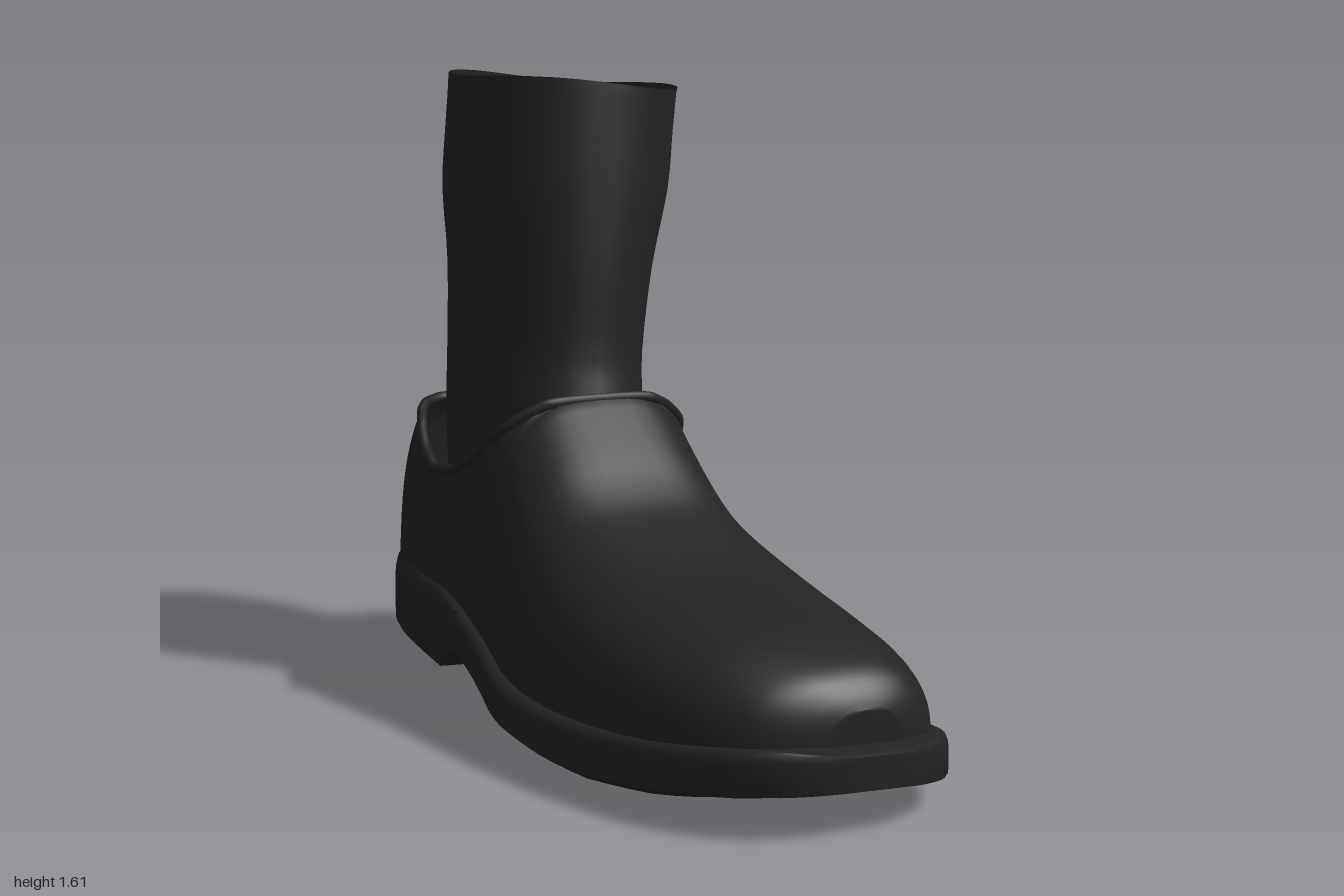
import * as THREE from 'three';
import { mergeVertices, toCreasedNormals } from 'three/addons/utils/BufferGeometryUtils.js';

const black = new THREE.MeshStandardMaterial({ color: 0x222222, side: THREE.DoubleSide });
black.name = 'black';

const TILT = -0.06; // sideways lean of the sole
const lerp = THREE.MathUtils.lerp;

// Sole rows, toe to heel: [z, xMin, xMax, bottom, top]
const soleRows = [
  [1, 0, 0.15, 0.105, 0.18], [0.975, -0.1, 0.22, 0.098, 0.187], [0.93, -0.18, 0.29, 0.09, 0.19],
  [0.85, -0.255, 0.34, 0.075, 0.18], [0.7, -0.33, 0.385, 0.045, 0.16], [0.5, -0.385, 0.405, 0.025, 0.14],
  [0.3, -0.408, 0.395, 0.025, 0.13], [0.1, -0.4, 0.36, 0.03, 0.13], [0, -0.385, 0.335, 0.04, 0.14],
  [-0.15, -0.36, 0.312, 0.08, 0.185], [-0.3, -0.345, 0.31, 0.12, 0.225], [-0.45, -0.33, 0.31, 0.045, 0.25],
  [-0.65, -0.315, 0.31, 0.055, 0.262], [-0.8, -0.293, 0.31, 0.06, 0.268], [-0.9, -0.26, 0.29, 0.07, 0.27],
  [-0.97, -0.18, 0.225, 0.08, 0.265], [-1, -0.09, 0.14, 0.085, 0.255],
];

// Upper rows, toe to heel: [z, xMin, xMax, arch height, collar height]
const upperRows = [
  [0.945, -0.03, 0.16, 0.26, 1], [0.93, -0.09, 0.21, 0.29, 1], [0.9, -0.16, 0.26, 0.325, 1],
  [0.85, -0.22, 0.3, 0.352, 1], [0.75, -0.285, 0.335, 0.387, 1], [0.6, -0.335, 0.36, 0.42, 1],
  [0.4, -0.365, 0.37, 0.465, 1], [0.2, -0.37, 0.345, 0.54, 1], [0.1, -0.36, 0.325, 0.6, 1],
  [0, -0.35, 0.31, 0.69, 1], [-0.115, -0.335, 0.305, 0.795, 0.795], [-0.145, -0.33, 0.305, 0.82, 0.765],
  [-0.2, -0.325, 0.305, 0.88, 0.7], [-0.3, -0.315, 0.305, 0.9, 0.63], [-0.42, -0.305, 0.305, 0.9, 0.58],
  [-0.55, -0.3, 0.305, 0.88, 0.565], [-0.65, -0.295, 0.3, 0.86, 0.605], [-0.75, -0.285, 0.295, 0.84, 0.665],
  [-0.83, -0.275, 0.285, 0.8, 0.705], [-0.88, -0.25, 0.265, 0.745, 0.715], [-0.9, -0.235, 0.25, 0.715, 1],
  [-0.925, -0.19, 0.215, 0.69, 1], [-0.94, -0.12, 0.15, 0.65, 1],
];

// Subdivide rows: smooth for the first columns, straight for the rest
function refine(rows, steps, smoothCols) {
  const out = [];
  const at = i => rows[Math.max(0, Math.min(rows.length - 1, i))];
  for (let i = 0; i < rows.length - 1; i++) {
    for (let s = 0; s < steps; s++) {
      const f = s / steps;
      out.push(rows[i].map((b, c) => {
        const a = at(i - 1)[c], d = at(i + 1)[c], e = at(i + 2)[c];
        if (c >= smoothCols) return lerp(b, d, f);
        return b + 0.5 * f * (d - a + f * (2 * a - 5 * b + 4 * d - e + f * (3 * (b - d) + e - a)));
      }));
    }
  }
  out.push(rows[rows.length - 1]);
  return out;
}

// Collapse the end rows to their middle so the shell is closed
function withCaps(rows) {
  const cap = r => [r[0], (r[1] + r[2]) / 2, (r[1] + r[2]) / 2, ...r.slice(3)];
  return [cap(rows[0]), ...rows, cap(rows[rows.length - 1])];
}

// Skin a list of equal-length cross-sections; skip leaves one band open
function loft(sections, closed, skip = -1) {
  const n = sections[0].length, index = [];
  for (let i = 0; i < sections.length - 1; i++) {
    for (let j = 0; j < (closed ? n : n - 1); j++) {
      if (j === skip) continue;
      const k = (j + 1) % n;
      const a = i * n + j, b = i * n + k, c = (i + 1) * n + k, d = (i + 1) * n + j;
      index.push(a, b, d, b, c, d);
    }
  }
  let geo = new THREE.BufferGeometry();
  geo.setAttribute('position', new THREE.Float32BufferAttribute(sections.flat(2), 3));
  geo.setIndex(index);
  geo = mergeVertices(geo, 1e-5);
  geo.computeVertexNormals();
  return geo;
}

function soleTop(z) {
  let i = 0;
  while (i < soleRows.length - 2 && soleRows[i + 1][0] > z) i++;
  const a = soleRows[i], b = soleRows[i + 1];
  return lerp(a[4], b[4], (z - a[0]) / (b[0] - a[0]));
}

// Sole with rounded welt, arch and heel block
function soleGeometry() {
  const half = [[0.97, 0], [1, 0.08], [1, 0.6], [0.99, 0.8], [0.965, 0.94], [0.92, 1]];
  const outline = [...half.map(([x, y]) => [-x, y]), ...half.slice().reverse()];
  const sections = withCaps(refine(soleRows, 3, 3)).map(([z, l, r, bottom, top]) =>
    outline.map(([fx, fy]) => {
      const x = (l + r) / 2 + fx * (r - l) / 2;
      return [x, lerp(bottom, top, fy) + TILT * x, z];
    }));
  return toCreasedNormals(loft(sections, true), 0.75);
}

// Upper: arched sections that open into the collar behind the instep
function upperParts() {
  const N = 14, rimLeft = [], rimRight = [];
  const sections = withCaps(refine(upperRows, 4, 4)).map(([z, l, r, height, rim]) => {
    const base = soleTop(z) - 0.03, n = 2.9 - 0.4 * z;
    const ratio = Math.min(1, (rim - base) / (height - base));
    const tMax = Math.asin(Math.pow(ratio, n / 2));
    const back = THREE.MathUtils.smoothstep(-z, 0.5, 0.85);
    const point = (side, t) => {
      const s = Math.pow(Math.sin(t), 2 / n);
      const c = Math.pow(Math.max(0, Math.cos(t)), 2 / n);
      const x = (l + r) / 2 + side * c * (r - l) / 2;
      const y = base + (height - base) * s;
      return [x, y + TILT * x * (1 - s), z + 0.1 * back * (y - 0.25)];
    };
    const left = [], right = [];
    for (let i = 0; i <= N; i++) {
      left.push(point(-1, tMax * i / N));
      right.unshift(point(1, tMax * i / N));
    }
    if (ratio < 0.995) {
      rimLeft.push(new THREE.Vector3(...left[N]));
      rimRight.unshift(new THREE.Vector3(...right[0]));
    }
    return [...left, ...right];
  });
  const rimCurve = new THREE.CatmullRomCurve3([...rimLeft, ...rimRight], true);
  return {
    shell: loft(sections, false, N),
    collar: new THREE.TubeGeometry(rimCurve, 120, 0.014, 8, true),
  };
}

// Sock leg: open tube with an uneven top edge
function sockGeometry() {
  // [y, xMin, xMax, zBack, zFront]
  const rows = refine([
    [0.3, -0.22, 0.22, -0.82, -0.16], [0.6, -0.235, 0.235, -0.825, -0.15], [0.75, -0.235, 0.24, -0.83, -0.15],
    [0.88, -0.225, 0.253, -0.84, -0.178], [1.1, -0.22, 0.288, -0.85, -0.183], [1.3, -0.23, 0.345, -0.867, -0.19],
    [1.45, -0.222, 0.363, -0.86, -0.198], [1.585, -0.212, 0.38, -0.85, -0.205],
  ], 3, 5);
  const sides = 32;
  const rings = rows.map(([y, l, r, b, f], i) => Array.from({ length: sides }, (_, j) => {
    const a = j / sides * Math.PI * 2, c = Math.cos(a), s = -Math.sin(a);
    const dy = i === rows.length - 1 ? -0.016 * c - 0.014 * s + 0.006 * Math.cos(3 * a) : 0;
    return [(l + r) / 2 + c * (r - l) / 2, y + dy, (b + f) / 2 + s * (f - b) / 2];
  }));
  return loft(rings, true);
}

export function createModel() {
  const model = new THREE.Group();
  model.name = 'shoeWithSock';
  const add = (name, geometry) => {
    const mesh = new THREE.Mesh(geometry, black);
    mesh.name = name;
    model.add(mesh);
  };
  const upper = upperParts();
  add('sole', soleGeometry());
  add('upper', upper.shell);
  add('collar', upper.collar);
  add('sock', sockGeometry());
  return model;
}
